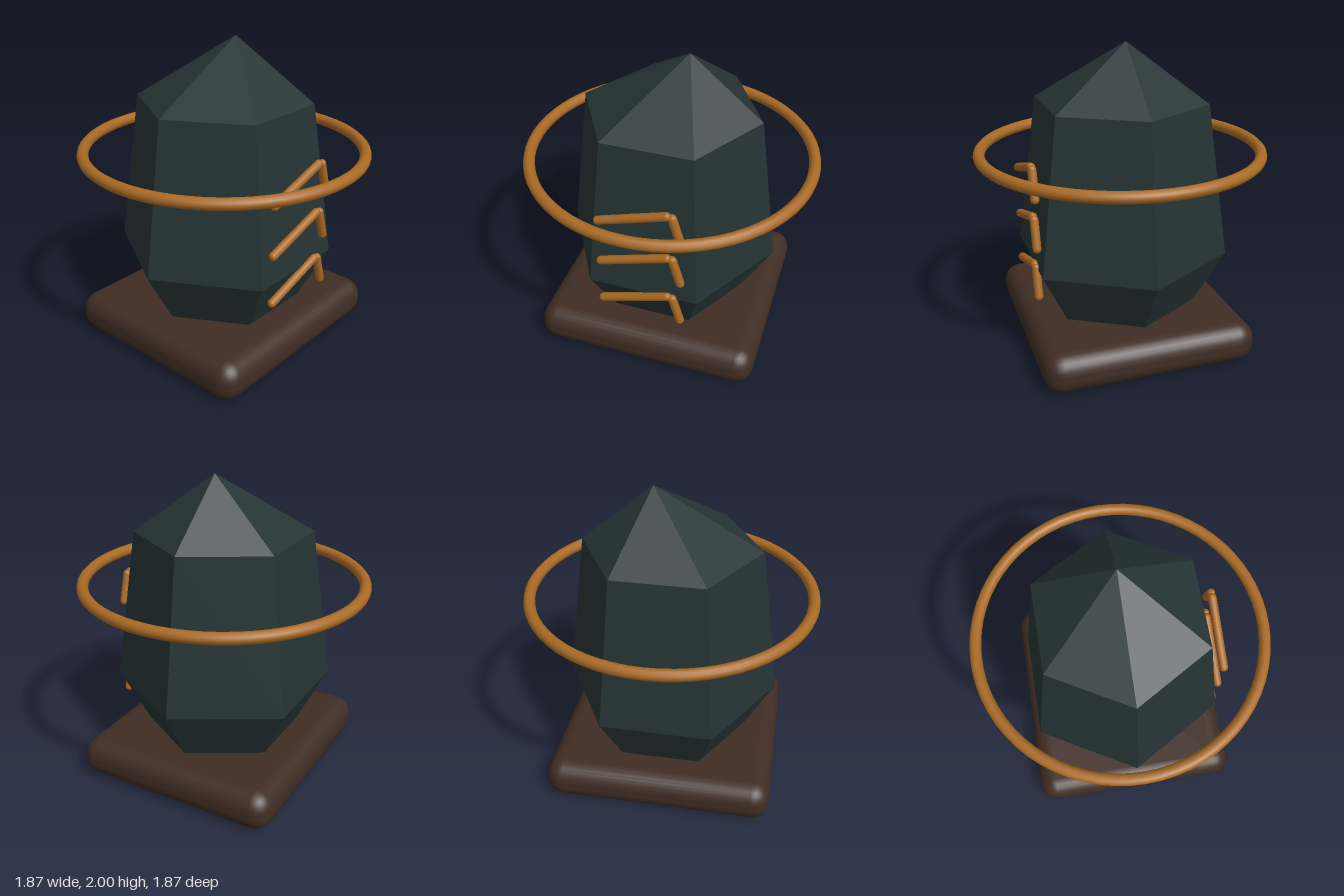
import * as THREE from 'three';
import { RoundedBoxGeometry } from 'three/addons/geometries/RoundedBoxGeometry.js';

function material(name, color, flatShading = false) {
  const m = new THREE.MeshStandardMaterial({ color, flatShading });
  m.name = name;
  return m;
}

// Faceted stone: hexagonal rings joined by quads, closed by an off-centre tip
function crystalGeometry() {
  const rings = [[0.2, 0.48, 0.415], [0.62, 0.71, 0.613], [1.615, 0.57, 0.49]]; // y, x radius, z half-depth
  const corner = ([y, rx, rz], i) => {
    const a = (i * Math.PI) / 3;
    return [rx * Math.cos(a), y, (rz / Math.sin(Math.PI / 3)) * Math.sin(a)];
  };
  const tip = [0.11, 2, 0];
  const floor = [0, rings[0][0], 0];
  const pos = [];
  const tri = (...points) => points.forEach((p) => pos.push(...p));
  for (let i = 0; i < 6; i++) {
    for (let r = 0; r < rings.length - 1; r++) {
      const a = corner(rings[r], i), b = corner(rings[r], i + 1);
      const c = corner(rings[r + 1], i + 1), d = corner(rings[r + 1], i);
      tri(a, d, c);
      tri(a, c, b);
    }
    tri(corner(rings[2], i), tip, corner(rings[2], i + 1));
    tri(corner(rings[0], i), corner(rings[0], i + 1), floor);
  }
  const g = new THREE.BufferGeometry();
  g.setAttribute('position', new THREE.Float32BufferAttribute(pos, 3));
  g.computeVertexNormals();
  return g;
}

export function createModel() {
  const group = new THREE.Group();
  const stone = material('dark teal stone', 0x263434, true);
  const wood = material('dark brown', 0x3f2d24);
  const gold = material('bronze', 0xa96a24);

  const add = (name, geometry, mat, x = 0, y = 0, z = 0) => {
    const mesh = new THREE.Mesh(geometry, mat);
    mesh.name = name;
    mesh.position.set(x, y, z);
    group.add(mesh);
    return mesh;
  };

  add('base', new RoundedBoxGeometry(1.48, 0.26, 1.38, 3, 0.115), wood, 0, 0.13, 0);
  add('crystal', crystalGeometry(), stone);

  // Floating horizontal ring
  add('ring', new THREE.TorusGeometry(0.9, 0.037, 12, 64), gold, 0, 1.296, 0).rotation.x = Math.PI / 2;

  // Rounded rod between two points in the front plane
  const rod = (name, x1, y1, x2, y2) => {
    const dx = x2 - x1, dy = y2 - y1;
    const geometry = new THREE.CapsuleGeometry(0.028, Math.hypot(dx, dy), 4, 10);
    add(name, geometry, gold, (x1 + x2) / 2, (y1 + y2) / 2, 0.622).rotation.z = Math.atan2(-dx, dy);
  };

  // Three bent rune marks up the front
  for (let i = 0; i < 3; i++) {
    const y = i * 0.325;
    rod('runeLongStroke', -0.265, 0.5 + y, 0.165, 0.637 + y);
    rod('runeShortStroke', 0.2, 0.63 + y, 0.25, 0.455 + y);
  }
  return group;
}
